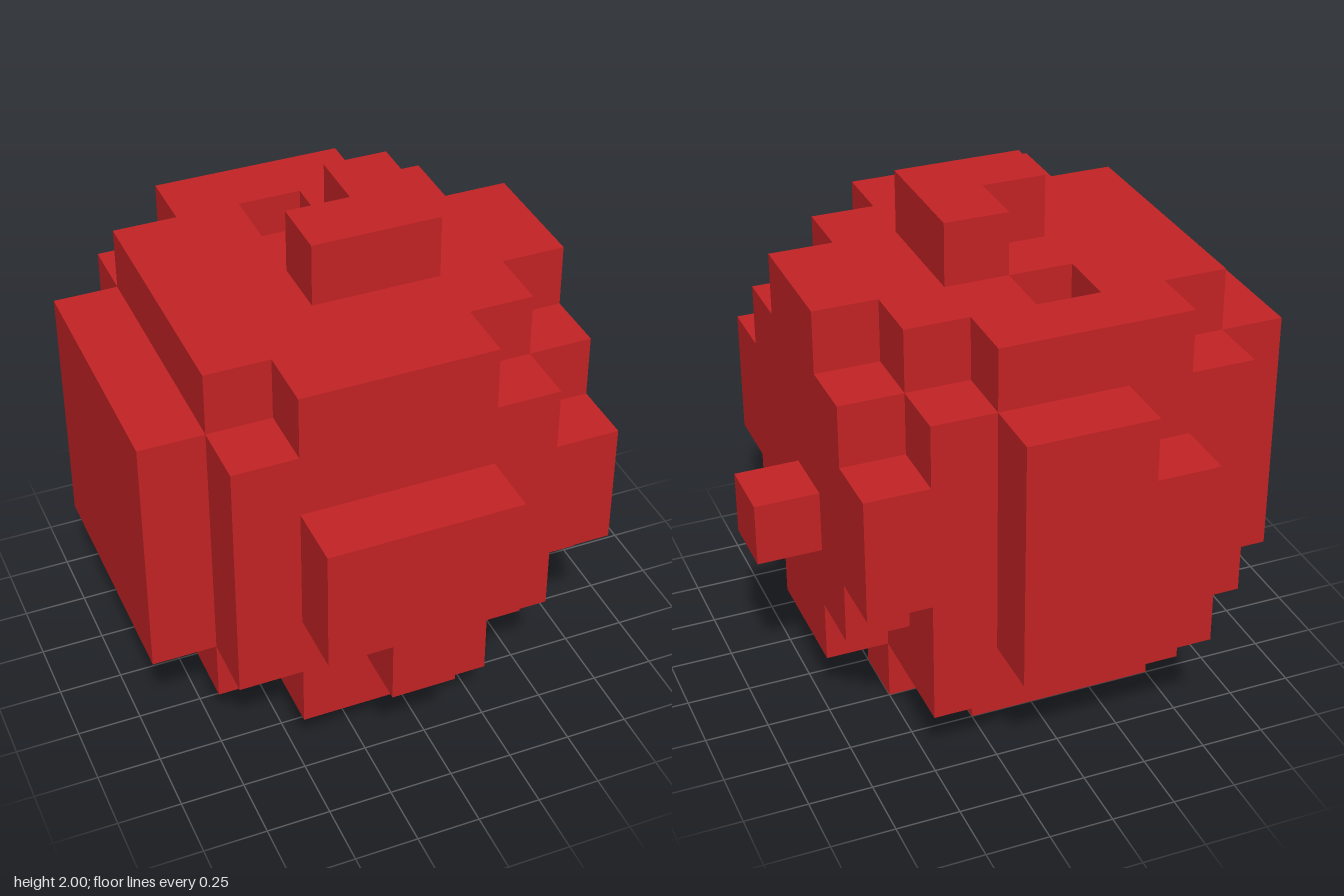
import * as THREE from 'three';

const CELL = 0.25;
const key = (x, y, z) => `${x},${y},${z}`;

// Every cell in an inclusive block, as [x, y, z]
function block(x0, x1, y0, y1, z0, z1) {
  const out = [];
  for (let x = x0; x <= x1; x++)
    for (let y = y0; y <= y1; y++)
      for (let z = z0; z <= z1; z++) out.push([x, y, z]);
  return out;
}

// Remove the listed cells from a block
function carve(cells, removed) {
  const gone = new Set(removed.map((c) => key(...c)));
  return cells.filter((c) => !gone.has(key(...c)));
}

// Cells missing from the rounded core
const carved = [
  // single corners on the right side
  [-3, 1, -3], [-3, 1, 2], [-3, 6, -3], [-3, 6, 2],
  // upper front left corner
  [2, 6, 2], [1, 6, 2], [2, 5, 2], [2, 6, 1],
  // upper back left corner
  [2, 6, -3], [1, 6, -3], [2, 5, -3], [2, 6, -2],
  // lower front left corner
  [2, 1, 2], [1, 1, 2], [2, 2, 2], [2, 1, 1], [1, 1, 1],
  // lower back left corner
  [2, 1, -3], [2, 2, -3], [2, 1, -2],
  // pit in the top
  [-1, 6, -2],
];

const parts = {
  core: carve(block(-3, 2, 1, 6, -3, 2), carved),
  topCap: [[-1, 7, 0], [0, 7, 0], [0, 7, -1]],
  bottomCap: [...carve(block(-2, 0, 0, 0, -2, 1), [[-2, 0, 1]]), [1, 0, -1]],
  frontPlate: [...block(-2, 0, 3, 4, 3, 3), [-1, 2, 3]],
  backPlate: carve(block(-2, 0, 2, 5, -4, -4), [[-2, 5, -4]]),
  rightPlate: block(-4, -4, 2, 5, -2, 1),
  leftKnob: [[3, 3, -1]],
};

// Outer faces of a part; faces touching any other cell are left out
function shell(cells, filled) {
  const pos = [], nor = [], idx = [];
  for (const c of cells) {
    for (let a = 0; a < 3; a++) {
      for (const s of [-1, 1]) {
        const next = [...c];
        next[a] += s;
        if (filled.has(key(...next))) continue;
        const u = (a + 1) % 3, v = (a + 2) % 3, base = pos.length / 3;
        for (const [du, dv] of [[0, 0], [1, 0], [1, 1], [0, 1]]) {
          const p = [...c];
          p[a] += s > 0 ? 1 : 0;
          p[u] += du;
          p[v] += dv;
          pos.push(...p.map((n) => n * CELL));
          const n = [0, 0, 0];
          n[a] = s;
          nor.push(...n);
        }
        const order = s > 0 ? [0, 1, 2, 0, 2, 3] : [0, 2, 1, 0, 3, 2];
        idx.push(...order.map((i) => base + i));
      }
    }
  }
  const geo = new THREE.BufferGeometry();
  geo.setAttribute('position', new THREE.Float32BufferAttribute(pos, 3));
  geo.setAttribute('normal', new THREE.Float32BufferAttribute(nor, 3));
  geo.setIndex(idx);
  return geo;
}

export function createModel() {
  const group = new THREE.Group();
  group.name = 'blockBall';
  const red = new THREE.MeshStandardMaterial({ color: 0xc32324 });
  red.name = 'red';
  const filled = new Set(Object.values(parts).flat().map((c) => key(...c)));
  for (const [name, cells] of Object.entries(parts)) {
    const mesh = new THREE.Mesh(shell(cells, filled), red);
    mesh.name = name;
    group.add(mesh);
  }
  return group;
}
